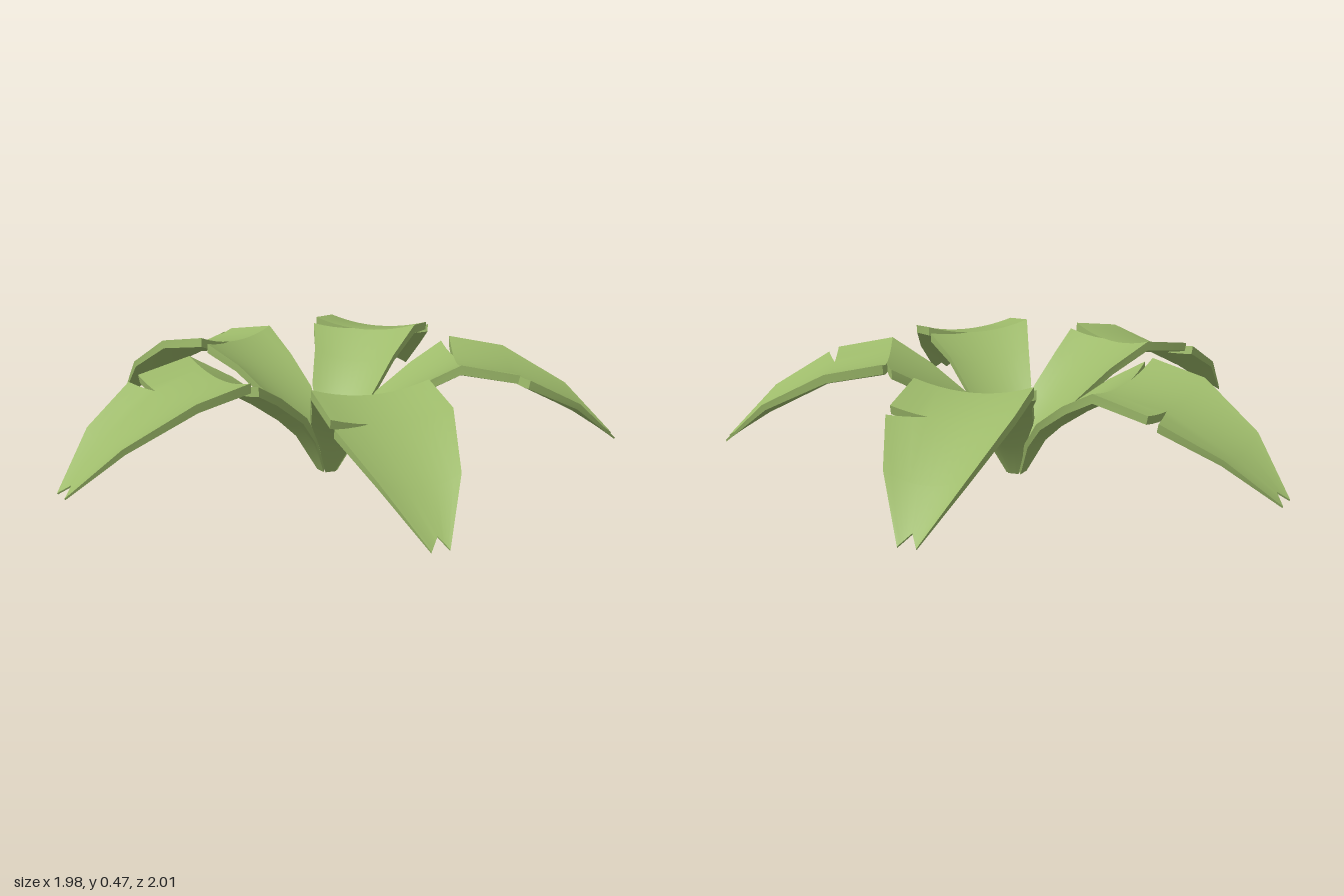
import * as THREE from 'three';
import { mergeGeometries, toCreasedNormals } from 'three/addons/utils/BufferGeometryUtils.js';

const COLS = 10; // divisions across a leaf

// Leaf cross-sections along its length:
// u = distance from hub, L/R = half-widths, y = rim height, dip = channel depth, off = underside offset
const S = [
  { u: 0.026, L: 0.02, R: 0.02, y: 0.014, dip: 0, off: [0.008, -0.012] },
  { u: 0.09, L: 0.07, R: 0.068, y: 0.155, dip: 0.018, off: [0.014, -0.01] },
  { u: 0.18, L: 0.126, R: 0.122, y: 0.27, dip: 0.034, off: [0.016, -0.018] },
  { u: 0.31, L: 0.163, R: 0.155, y: 0.375, dip: 0.038, off: [0.015, -0.024] },
  { u: 0.457, L: 0.208, R: 0.199, y: 0.465, dip: 0.035, off: [0, -0.034] },
  { u: 0.66, L: 0.208, R: 0.197, y: 0.43, dip: 0.032, off: [-0.006, -0.03] },
  { u: 0.89, L: 0.138, R: 0.126, y: 0.305, dip: 0.036, off: [-0.009, -0.02] },
  { u: 1.052, L: 0.033, R: 0.025, y: 0.143, dip: 0, off: [-0.003, -0.005] },
];

// Cuts that open the slits and the tip notch: shift of u across the width, and the slope followed
const foldSlit = { shift: (t) => -0.03 * Math.max(0, (t - 0.2) / 0.8), slope: 0.61 };
const sideSlit = { shift: (t) => 0.037 * Math.max(0, (-t - 0.4) / 0.6), slope: -0.5 };
const tipNotch = { shift: (t) => -0.037 * (1 - Math.abs(t)), slope: -0.8 };
const straight = { shift: () => 0, slope: 0 };

// Closed loop of points: upper face left to right, then underside back again
function ring(s, cut = straight) {
  const top = [], under = [];
  for (let j = 0; j <= COLS; j++) {
    const t = (2 * j) / COLS - 1;
    const v = t < 0 ? t * s.L : t * s.R;
    const du = cut.shift(t);
    const u = s.u + du;
    const y = s.y - s.dip * (1 - t * t) + du * cut.slope;
    top.push([u, y, -v]);
    under.unshift([u + s.off[0], y + s.off[1], -v]);
  }
  return [...top, ...under];
}

// Solid slab lofted through rings, closed at both ends
function slab(rings) {
  const m = rings[0].length, pos = rings.flat(2), idx = [];
  const quad = (a, b, c, d) => idx.push(a, b, c, a, c, d);
  for (let i = 0; i < rings.length - 1; i++) {
    for (let k = 0; k < m; k++) {
      const n = (k + 1) % m;
      quad(i * m + k, (i + 1) * m + k, (i + 1) * m + n, i * m + n);
    }
  }
  const e = (rings.length - 1) * m;
  for (let j = 0; j < COLS; j++) {
    quad(j, j + 1, m - 2 - j, m - 1 - j);
    quad(e + m - 1 - j, e + m - 2 - j, e + j + 1, e + j);
  }
  const g = new THREE.BufferGeometry();
  g.setAttribute('position', new THREE.Float32BufferAttribute(pos, 3));
  g.setIndex(idx);
  return g;
}

export function createModel() {
  const model = new THREE.Group();
  model.name = 'leafyPlant';
  const leafGreen = new THREE.MeshStandardMaterial({ color: 0x9dba6a });
  leafGreen.name = 'leafGreen';

  // Rising stalk panel, bent-over panel and tip panel, separated by slits
  const stalk = slab([ring(S[0]), ring(S[1]), ring(S[2]), ring(S[3]), ring(S[4], foldSlit)]);
  const bend = slab([ring(S[4]), ring(S[5])]);
  const tip = slab([ring(S[5], sideSlit), ring(S[6]), ring(S[7], tipNotch)]);
  const leafGeometry = toCreasedNormals(mergeGeometries([stalk, bend, tip]), 0.6);

  // Five leaves around the hub; the rear one droops and rolls slightly
  for (let i = 0; i < 5; i++) {
    const leaf = new THREE.Mesh(leafGeometry, leafGreen);
    const rear = i === 3;
    leaf.name = rear ? 'rearLeaf' : `leaf${i + 1}`;
    leaf.position.set(0.055, 0, 0.03);
    leaf.rotation.set(rear ? 0.08 : 0, -THREE.MathUtils.degToRad(42 + i * 72), rear ? -0.028 : 0, 'YZX');
    model.add(leaf);
  }
  return model;
}
